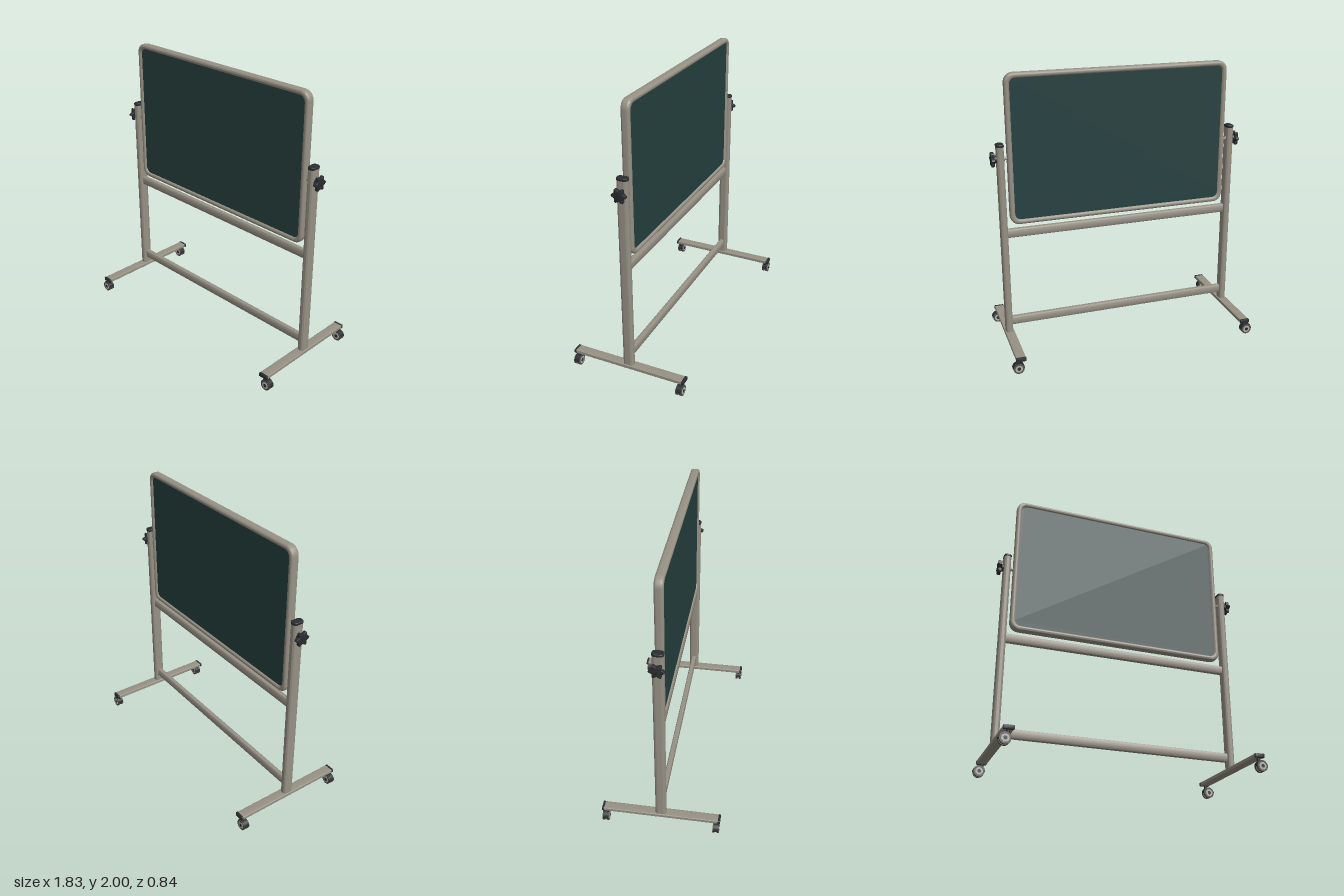
import * as THREE from 'three';
import { toCreasedNormals } from 'three/addons/utils/BufferGeometryUtils.js';

const material = (name, color) => {
  const m = new THREE.MeshStandardMaterial({ color });
  m.name = name;
  return m;
};

// Rounded rectangle centred on the origin
function roundedRect(w, h, r, T = THREE.Shape) {
  const s = new T(), x = w / 2 - r, y = h / 2 - r, q = Math.PI / 2;
  s.absarc(x, y, r, 0, q);
  s.absarc(-x, y, r, q, 2 * q);
  s.absarc(-x, -y, r, 2 * q, 3 * q);
  s.absarc(x, -y, r, 3 * q, 4 * q);
  s.closePath();
  return s;
}

// Extrusion centred along z; depth is the full depth including the bevel
function extrude(shape, depth, bevel = 0, segments = 5) {
  const g = new THREE.ExtrudeGeometry(shape, {
    depth: depth - 2 * bevel, curveSegments: segments, bevelEnabled: bevel > 0,
    bevelThickness: bevel, bevelSize: bevel, bevelOffset: -bevel, bevelSegments: 4,
  });
  g.translate(0, 0, -depth / 2 + bevel);
  return toCreasedNormals(g, 0.7);
}

export function createModel() {
  const metal = material('warm grey metal', 0x979185);
  const green = material('chalkboard green', 0x25403f);
  const black = material('black plastic', 0x2a2d30);
  const rubber = material('grey rubber', 0x55534f);
  const hubGrey = material('light grey hub', 0xb4b2ac);

  const model = new THREE.Group();
  model.name = 'mobileChalkboard';
  const add = (name, geometry, mat, x = 0, y = 0, z = 0, parent = model) => {
    const m = new THREE.Mesh(geometry, mat);
    m.name = name;
    m.position.set(x, y, z);
    parent.add(m);
    return m;
  };
  const rod = (r, length, sides = 20) => new THREE.CylinderGeometry(r, r, length, sides);

  // Board: rounded tube frame around a two-sided panel
  const boardY = 1.471;
  const frame = roundedRect(1.61, 1.058, 0.065);
  frame.holes.push(roundedRect(1.538, 0.986, 0.04, THREE.Path));
  add('boardFrame', extrude(frame, 0.06, 0.016), metal, 0, boardY);
  add('boardPanel', extrude(roundedRect(1.56, 1.008, 0.045), 0.036), green, 0, boardY);

  // Crossbars between the posts
  const bar = extrude(roundedRect(0.036, 0.064, 0.01), 1.66).rotateY(Math.PI / 2);
  add('upperCrossbar', bar, metal, 0, 0.877);
  add('lowerCrossbar', bar, metal, 0, 0.199);

  // Shared side parts
  const post = extrude(roundedRect(0.05, 0.076, 0.02), 1.395).rotateX(-Math.PI / 2);
  const postCap = extrude(roundedRect(0.054, 0.08, 0.022), 0.02, 0.006).rotateX(-Math.PI / 2);
  const foot = extrude(roundedRect(0.068, 0.026, 0.005), 0.82);
  const footCap = extrude(roundedRect(0.071, 0.029, 0.006), 0.016, 0.003);
  const star = new THREE.Shape(Array.from({ length: 48 }, (_, i) => {
    const a = (i / 48) * Math.PI * 2, r = 0.044 + 0.009 * Math.cos(6 * a);
    return new THREE.Vector2(r * Math.cos(a), r * Math.sin(a));
  }));
  const knobGrip = extrude(star, 0.026, 0.005);
  const knobHub = rod(0.026, 0.02).rotateX(Math.PI / 2);
  const pivotRod = rod(0.011, 0.05).rotateZ(Math.PI / 2);
  const pivotCollar = rod(0.018, 0.008).rotateZ(Math.PI / 2);

  // Twin-wheel caster, axle along z
  const halfDisc = new THREE.Shape();
  halfDisc.absarc(0, 0, 0.041, 0, Math.PI);
  halfDisc.closePath();
  const hood = extrude(halfDisc, 0.038, 0, 16);
  const wheel = rod(0.038, 0.016, 24).rotateX(Math.PI / 2);
  const disc = rod(0.026, 0.003).rotateX(Math.PI / 2);
  const bolt = rod(0.013, 0.005).rotateX(Math.PI / 2);
  const stem = rod(0.012, 0.036, 16);

  for (const s of [1, -1]) {
    const side = new THREE.Group();
    side.name = s > 0 ? 'leftStand' : 'rightStand';
    model.add(side);
    const put = (name, g, mat, x, y, z = 0) => add(name, g, mat, s * x, y, z, side);

    put('post', post, metal, 0.852, 0.8125);
    put('postCap', postCap, black, 0.852, 1.515);
    put('foot', foot, metal, 0.851, 0.107);
    put('pivotRod', pivotRod, metal, 0.82, 1.42);
    put('pivotCollar', pivotCollar, metal, 0.825, 1.42);

    // Star-shaped clamping knob
    const knob = new THREE.Group();
    knob.name = 'clampKnob';
    knob.position.set(s * 0.876, 1.42, 0);
    knob.rotation.y = s * Math.PI / 2;
    side.add(knob);
    add('knobHub', knobHub, black, 0, 0, 0.009, knob);
    add('knobGrip', knobGrip, black, 0, 0, 0.028, knob);

    for (const f of [1, -1]) {
      put('footCap', footCap, black, 0.851, 0.107, f * 0.413);
      put('casterStem', stem, black, 0.851, 0.08, f * 0.394);

      const caster = new THREE.Group();
      caster.name = 'caster';
      caster.position.set(s * 0.869, 0.038, f * 0.394);
      side.add(caster);
      add('casterHood', hood, black, 0, 0, 0, caster);
      for (const w of [1, -1]) {
        add('wheel', wheel, rubber, 0, 0, w * 0.0145, caster);
        add('wheelDisc', disc, hubGrey, 0, 0, w * 0.0225, caster);
        add('wheelBolt', bolt, black, 0, 0, w * 0.0225, caster);
      }
    }
  }
  return model;
}
